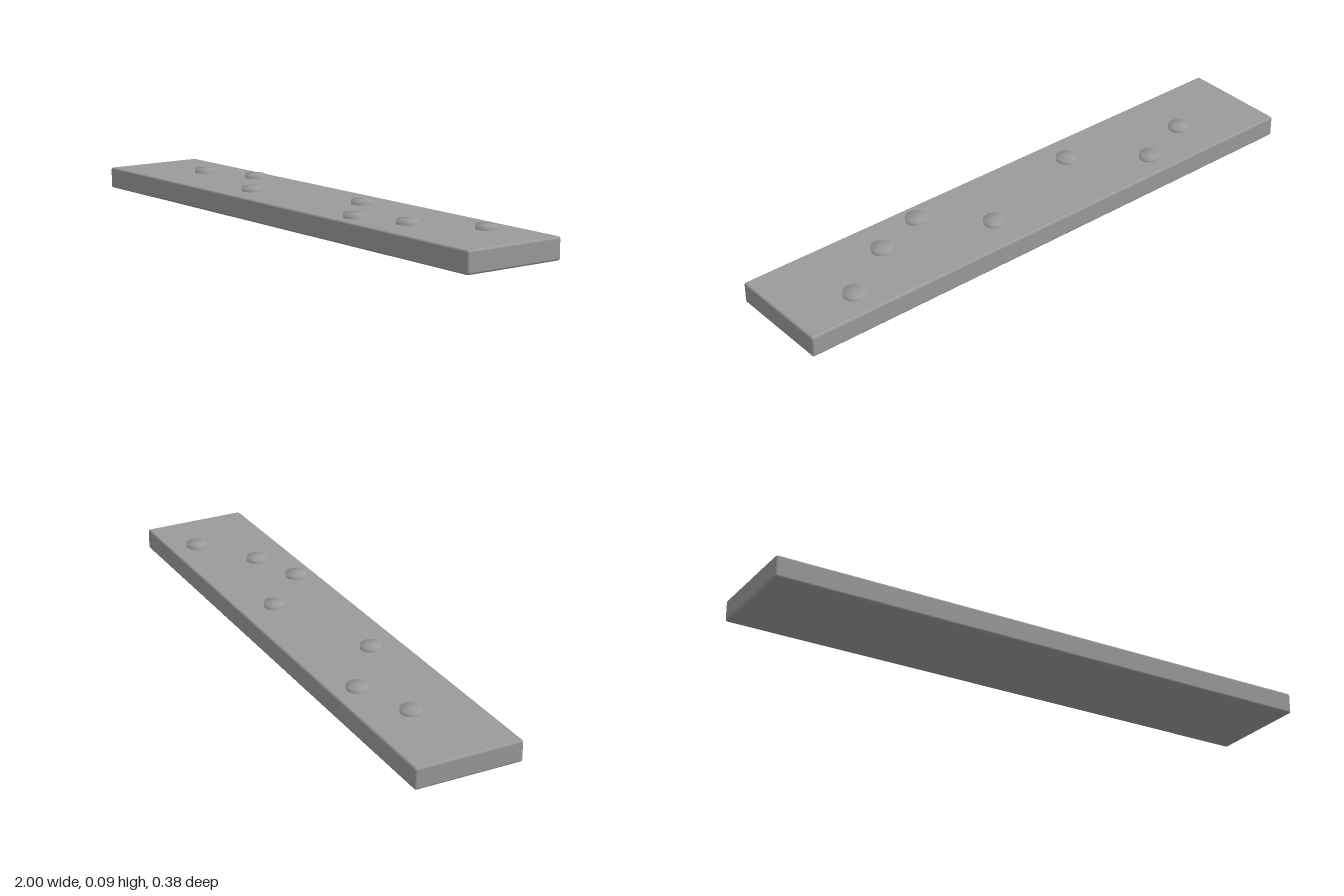
import * as THREE from 'three';
import { RoundedBoxGeometry } from 'three/addons/geometries/RoundedBoxGeometry.js';

const HEIGHT = 0.075, STUD_TOP = 0.09, STUD_RADIUS = 0.036;

// Stud centres on the top face: x, z
const STUDS = [
  [-0.69, -0.025], [-0.48, -0.1], [-0.25, 0.075], [0.185, -0.063],
  [0.372, 0.114], [0.56, 0.05], [0.772, -0.09],
];

export function createModel() {
  const model = new THREE.Group();
  model.name = 'studdedPlank';
  const grey = new THREE.MeshStandardMaterial({ color: 0x9a9a9a });
  grey.name = 'grey';

  // Long slab with slightly rounded edges
  const plank = new THREE.Mesh(new RoundedBoxGeometry(2, HEIGHT, 0.375, 3, 0.008), grey);
  plank.name = 'plank';
  plank.position.y = HEIGHT / 2;
  model.add(plank);

  // Low round studs, shaded smoothly over the rim
  const profile = [
    new THREE.Vector2(STUD_RADIUS, -0.01),
    new THREE.Vector2(STUD_RADIUS, STUD_TOP - HEIGHT),
    new THREE.Vector2(0, STUD_TOP - HEIGHT),
  ];
  const studGeometry = new THREE.LatheGeometry(profile, 32);
  STUDS.forEach(([x, z], i) => {
    const stud = new THREE.Mesh(studGeometry, grey);
    stud.name = `stud${i + 1}`;
    stud.position.set(x, HEIGHT, z);
    model.add(stud);
  });

  return model;
}
